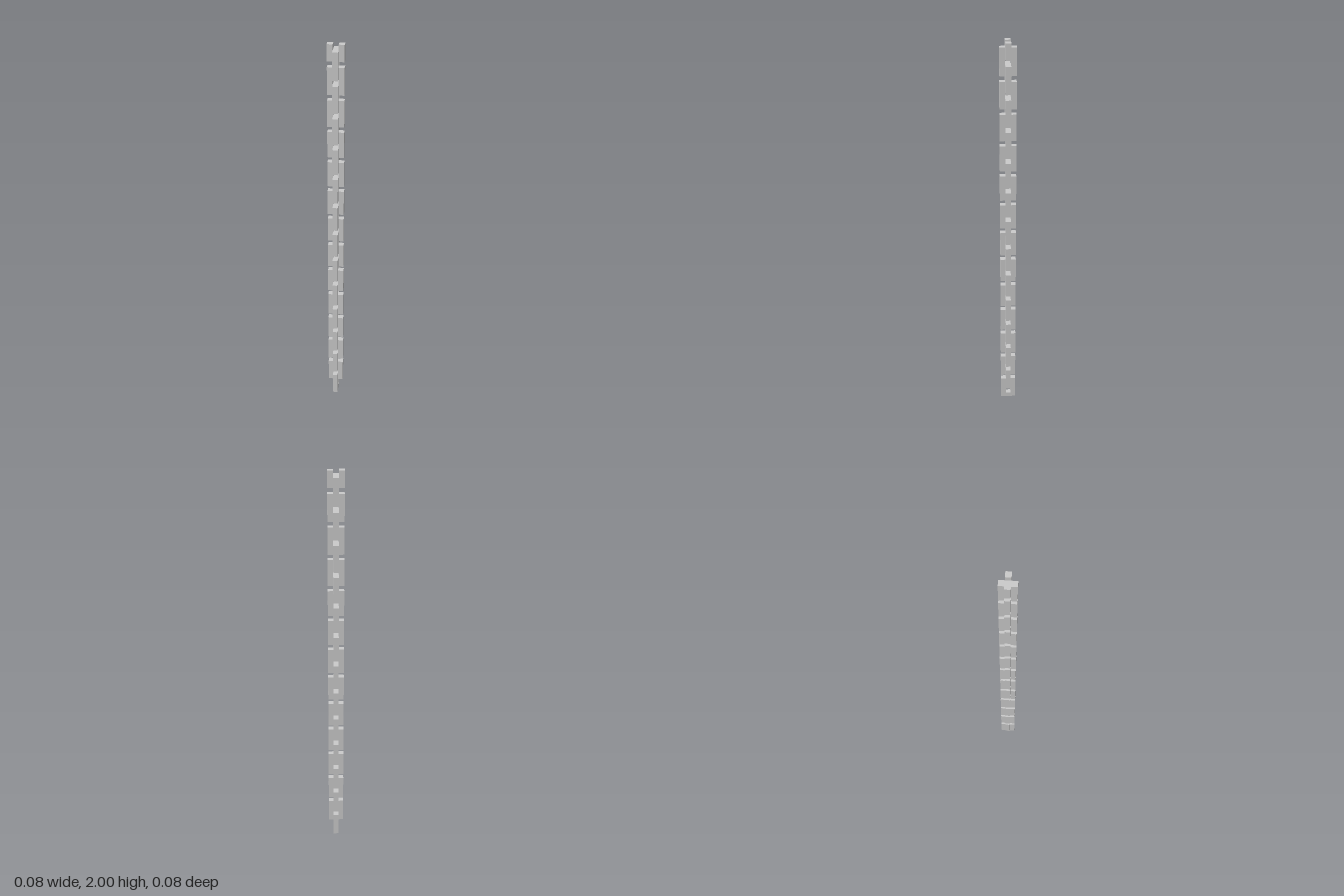
import * as THREE from 'three';

const U = 2 / 78;        // bar thickness; links are 3 x 5 bars, repeating every 6
const PAIRS = 13;

function extrudeCentred(shape) {
  const geo = new THREE.ExtrudeGeometry(shape, { depth: U, bevelEnabled: false });
  return geo.translate(0, 0, -U / 2);
}

function outline(Type, points) {
  return new Type(points.map(([x, y]) => new THREE.Vector2(x * U, y * U)));
}

export function createModel() {
  const chain = new THREE.Group();
  chain.name = 'chain';
  const material = new THREE.MeshStandardMaterial({ color: 0xcccccc, flatShading: true });

  // closed rectangular link with a slot
  const linkShape = outline(THREE.Shape, [[-1.5, 0], [1.5, 0], [1.5, 5], [-1.5, 5]]);
  linkShape.holes.push(outline(THREE.Path, [[-0.5, 1], [-0.5, 4], [0.5, 4], [0.5, 1]]));
  const linkGeo = extrudeCentred(linkShape);

  // open U-shaped end link
  const endGeo = extrudeCentred(outline(THREE.Shape, [
    [-1.5, 0], [1.5, 0], [1.5, 3], [0.5, 3], [0.5, 1], [-0.5, 1], [-0.5, 3], [-1.5, 3],
  ]));

  const add = (name, geo, y, turn) => {
    const mesh = new THREE.Mesh(geo, material);
    mesh.name = name;
    mesh.position.y = y * U;
    mesh.rotation.y = turn;
    chain.add(mesh);
  };

  // alternating links, each turned a quarter from the one below
  for (let i = 0; i < PAIRS; i++) {
    add(`sideFacingLink${i + 1}`, linkGeo, 6 * i, Math.PI / 2);
    if (i < PAIRS - 1) add(`frontFacingLink${i + 1}`, linkGeo, 6 * i + 3, 0);
    else add('openTopLink', endGeo, 6 * i + 3, 0);
  }
  return chain;
}
